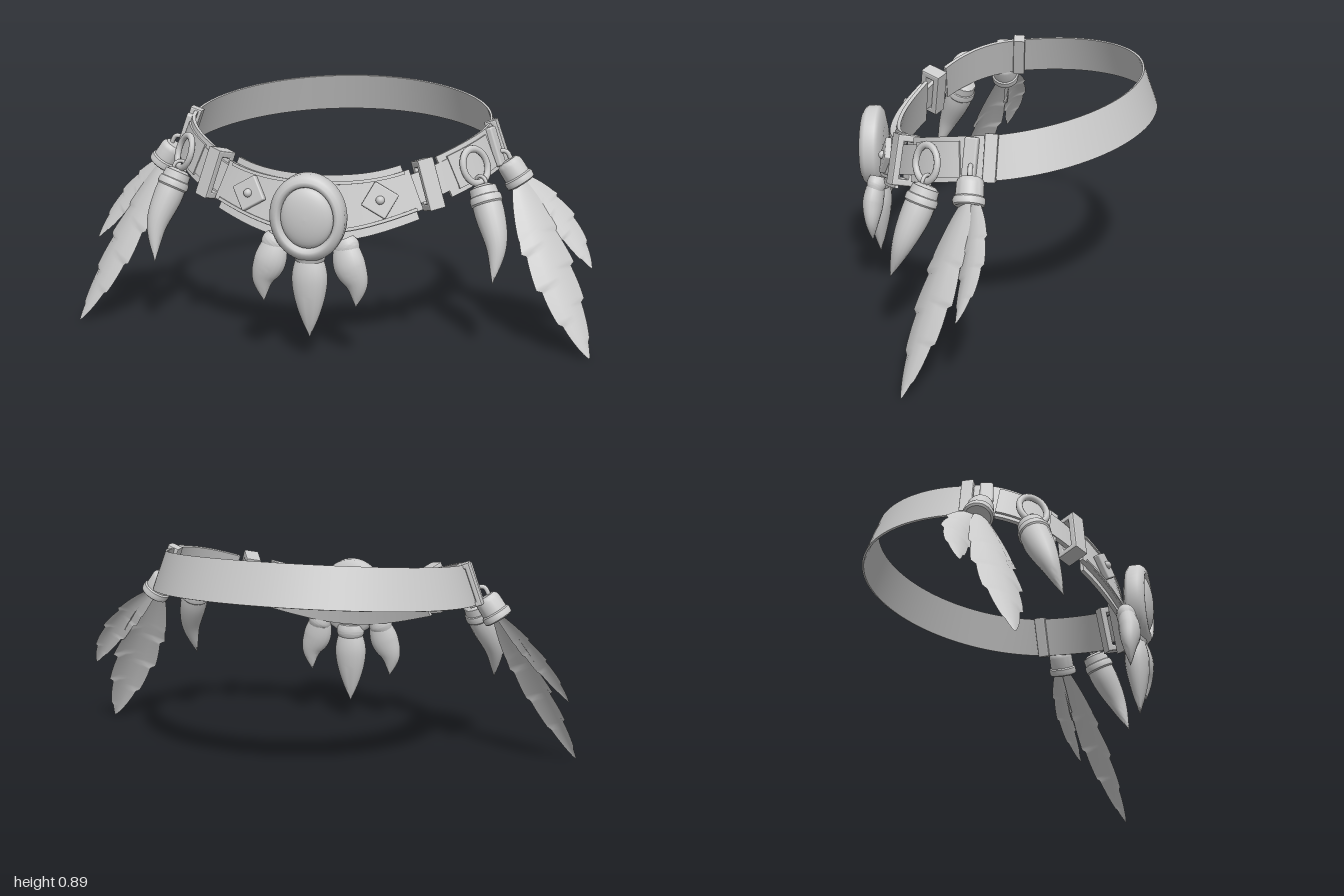
import * as THREE from 'three';
import { toCreasedNormals } from 'three/addons/utils/BufferGeometryUtils.js';
import { RoundedBoxGeometry } from 'three/addons/geometries/RoundedBoxGeometry.js';

const V = (x, y, z) => new THREE.Vector3(x, y, z);
const rad = THREE.MathUtils.degToRad;
const grey = new THREE.MeshStandardMaterial({ color: 0xcccccc });
const thin = new THREE.MeshStandardMaterial({ color: 0xcccccc, side: THREE.DoubleSide });

// Centre line of the belt; 0 degrees is the front, +90 the model's left
function beltPoint(deg) {
  const t = rad(deg), c = Math.cos(t);
  const y = c > 0
    ? 0.714 - 0.105 * c - 0.027 * Math.cos(2 * t) - 0.021 * Math.cos(3 * t)
    : 0.741 - 0.067 * c + 0.009 * c * c;
  return V(0.605 * Math.sin(t), y, (c > 0 ? 0.44 : 0.547) * c);
}

// Along, up and outward directions of the leaning belt
function beltFrame(deg) {
  const t = rad(deg), c = Math.cos(t), rz = c > 0 ? 0.44 : 0.547;
  const T = beltPoint(deg + 0.5).sub(beltPoint(deg - 0.5)).normalize();
  const N = V(Math.sin(t) / 0.605, 0, c / rz).normalize().multiplyScalar(0.94);
  N.y = 0.34 - 0.1 * Math.max(c, 0);
  N.addScaledVector(T, -N.dot(T)).normalize();
  return { P: beltPoint(deg), T, N, U: N.clone().cross(T) };
}

function mesh(parent, name, geo, mat = grey) {
  const m = new THREE.Mesh(geo, mat);
  m.name = name;
  parent.add(m);
  return m;
}

// Put a mesh on the belt: x along it, y up it, z out of it
function onBelt(m, deg, up = 0, out = 0) {
  const { P, T, U, N } = beltFrame(deg);
  m.quaternion.setFromRotationMatrix(new THREE.Matrix4().makeBasis(T, U, N));
  m.position.copy(P).addScaledVector(U, up).addScaledVector(N, out);
  return m;
}

// Skin through closed rings of points, capped at both ends
function loft(rings, crease) {
  const pos = [], n = rings[0].length;
  const tri = (...pts) => pts.forEach((p) => pos.push(p.x, p.y, p.z));
  const mid = (r) => r.reduce((a, p) => a.add(p), V(0, 0, 0)).divideScalar(n);
  const first = rings[0], last = rings[rings.length - 1];
  for (let j = 0; j < n; j++) {
    const k = (j + 1) % n;
    for (let i = 0; i < rings.length - 1; i++) {
      const a = rings[i], b = rings[i + 1];
      tri(a[j], a[k], b[j]);
      tri(a[k], b[k], b[j]);
    }
    tri(mid(first), first[k], first[j]);
    tri(mid(last), last[j], last[k]);
  }
  const g = new THREE.BufferGeometry();
  g.setAttribute('position', new THREE.Float32BufferAttribute(pos, 3));
  return toCreasedNormals(g, crease);
}

// Strip of leather following the belt from a to b degrees
function strip(parent, name, a, b, top, bottom, inner, outer) {
  const rings = [], n = Math.ceil(Math.abs(b - a) / 3);
  for (let i = 0; i <= n; i++) {
    const deg = a + (b - a) * i / n, { P, U, N } = beltFrame(deg);
    const at = (u, w) => P.clone().addScaledVector(U, u).addScaledVector(N, w);
    const hi = top(deg), lo = bottom(deg);
    rings.push([at(hi, inner), at(hi, outer), at(lo, outer), at(lo, inner)]);
  }
  return mesh(parent, name, loft(rings, 0.6));
}

// Tapered horn along a path; flat squeezes it front to back
function horn(parent, name, pts, radius, start, flat = 1) {
  const curve = new THREE.CatmullRomCurve3(pts), rings = [];
  for (let i = 0; i <= 24; i++) {
    const s = i / 24, p = curve.getPoint(s), d = curve.getTangent(s);
    const A = d.clone().cross(V(0, 0, 1)).normalize(), B = d.clone().cross(A);
    const r = Math.max(0.001, radius * (s < 0.33
      ? start + (1 - start) * Math.sin(s / 0.33 * Math.PI / 2)
      : 1 - Math.pow((s - 0.33) / 0.67, 1.7)));
    rings.push(Array.from({ length: 18 }, (_, j) => {
      const q = j / 18 * Math.PI * 2;
      return p.clone().addScaledVector(A, r * Math.cos(q)).addScaledVector(B, r * flat * Math.sin(q));
    }));
  }
  return mesh(parent, name, loft(rings, 1));
}

// Turned part whose axis runs from a towards b
function turned(parent, name, profile, a, b) {
  const g = new THREE.LatheGeometry(profile.map(([r, y]) => new THREE.Vector2(r, y)), 28);
  const m = mesh(parent, name, toCreasedNormals(g, 0.6));
  m.position.copy(a);
  m.quaternion.setFromUnitVectors(V(0, 1, 0), b.clone().sub(a).normalize());
  return m;
}

// Feather blade, folded along its vein, with a few split barbs on both sides
function feather(parent, name, s, pts, width, teeth) {
  const curve = new THREE.QuadraticBezierCurve3(...pts), N = V(0.5, 0.45, 0.65).normalize();
  const pos = [], idx = [], n = 60;
  const saw = (x) => x - Math.floor(x);
  for (let i = 0; i <= n; i++) {
    const t = i / n, p = curve.getPoint(t), d = curve.getTangent(t);
    const W = N.clone().cross(d).normalize();
    const w = width * (0.1 * (1 - t) + Math.pow(Math.max(0, Math.sin(Math.PI * Math.pow(t, 0.92))), 0.8));
    for (const k of [-1, -0.5, 0, 0.5, 1]) {
      const notch = t > 0.3 ? 0.8 + 0.2 * saw(t * teeth + (k > 0 ? 0.45 : 0)) : 0.94;
      const q = p.clone().addScaledVector(W, k * w * notch)
        .addScaledVector(d, Math.abs(k) * w * 0.25 * (1 - t)).addScaledVector(N, -k * k * w * 0.25);
      pos.push(q.x * s, q.y, q.z);
    }
    if (i < n) for (let k = 0; k < 4; k++) {
      const a = i * 5 + k;
      idx.push(a, a + 1, a + 5, a + 1, a + 6, a + 5);
    }
  }
  const g = new THREE.BufferGeometry();
  g.setAttribute('position', new THREE.Float32BufferAttribute(pos, 3));
  g.setIndex(idx);
  g.computeVertexNormals();
  mesh(parent, name, g, thin);
}

// Rectangular loop that the belt passes through
function loopGeometry(depth, height, wall, length) {
  const box = (C, w, h) => new C([[-w, -h], [w, -h], [w, h], [-w, h]].map(([x, y]) => new THREE.Vector2(x / 2, y / 2)));
  const shape = box(THREE.Shape, depth, height);
  shape.holes.push(box(THREE.Path, depth - 2 * wall, height - 2 * wall));
  return new THREE.ExtrudeGeometry(shape, { depth: length, bevelSize: 0.006, bevelThickness: 0.006, bevelSegments: 2 })
    .translate(0, 0, -length / 2).rotateY(Math.PI / 2);
}

export function createModel() {
  const root = new THREE.Group();
  root.name = 'ornamentedBelt';

  // Back strap and layered front panel
  strip(root, 'backStrap', 88, 272, () => 0.078, () => -0.08, -0.004, 0.004);
  const bulge = (d) => 0.1 + 0.018 * Math.pow(Math.cos(rad(d * 2.5)), 2);
  strip(root, 'frontLining', -34, 34, bulge, (d) => -bulge(d) - 0.008, -0.01, 0.004);
  strip(root, 'frontBelt', -36, 36, (d) => bulge(d) - 0.024, (d) => 0.022 - bulge(d), 0.004, 0.02);
  for (const k of [-1, 1]) {
    const edge = (o) => (d) => k * (bulge(d) - 0.03) + o;
    strip(root, 'frontBeltTrim', -34, 34, edge(0.006), edge(-0.006), 0.018, 0.026);
  }

  // Oval medallion with domed stone
  const rim = [[0, -0.045], [0.08, -0.045], [0.125, -0.032], [0.139, -0.018], [0.139, 0.02], [0.13, 0.034],
    [0.117, 0.043], [0.108, 0.043], [0.1, 0.036], [0.097, 0.022]];
  const stone = Array.from({ length: 9 }, (_, i) => [0.097 * Math.cos(i * Math.PI / 16), 0.022 + 0.036 * Math.sin(i * Math.PI / 16)]);
  for (const [name, pts] of [['medallionRim', rim], ['medallionStone', stone]]) {
    const g = new THREE.LatheGeometry(pts.map(([r, y]) => new THREE.Vector2(Math.max(r, 0), y)), 48);
    const m = mesh(root, name, g.rotateX(Math.PI / 2).scale(1, 1.15, 1));
    m.position.set(0, 0.545, 0.518);
  }

  // Central claw and its cap
  horn(root, 'centreClaw', [V(0, 0.42, 0.5), V(0, 0.31, 0.505), V(0, 0.2, 0.508), V(0, 0.09, 0.508)], 0.067, 0.55, 0.7);
  horn(root, 'centreClawCap', [V(0, 0.43, 0.5), V(0, 0.38, 0.503), V(0, 0.31, 0.515)], 0.06, 0.85, 0.75);

  for (const s of [1, -1]) {
    const side = new THREE.Group();
    side.name = s > 0 ? 'leftOrnaments' : 'rightOrnaments';
    root.add(side);
    const M = (x, y, z) => V(s * x, y, z);
    const sideStrip = (name, a, b, ...rest) => strip(side, name, s > 0 ? a : -b, s > 0 ? b : -a, ...rest);

    // Side claw and its cap
    horn(side, 'sideClaw', [M(0.125, 0.46, 0.49), M(0.148, 0.37, 0.505), M(0.175, 0.3, 0.507), M(0.172, 0.215, 0.507)], 0.06, 0.6, 0.68);
    horn(side, 'sideClawCap', [M(0.12, 0.46, 0.488), M(0.14, 0.42, 0.495), M(0.155, 0.36, 0.505)], 0.05, 0.8, 0.75);

    // Diamond plate with stud
    const plate = mesh(side, 'diamondPlate', new RoundedBoxGeometry(0.1, 0.1, 0.024, 2, 0.006).rotateZ(rad(45)));
    onBelt(plate, s * 23, 0, 0.03);
    onBelt(mesh(side, 'plateStud', new THREE.SphereGeometry(0.016, 16, 10)), s * 23, 0, 0.042);

    // Bridge, buckle and side strap
    sideStrip('bridgeStrap', 32, 52, () => 0.055, () => -0.055, -0.006, 0.01);
    onBelt(mesh(side, 'buckle', loopGeometry(0.075, 0.175, 0.014, 0.05).rotateZ(-s * rad(7))), s * 41, 0, 0.01);
    sideStrip('sideStrap', 48, 90, () => 0.08, () => -0.08, -0.008, 0.006);
    sideStrip('sidePatch', 52, 76, () => 0.064, () => -0.064, 0.006, 0.014);

    // Ring lying on the side strap
    onBelt(mesh(side, 'ring', new THREE.TorusGeometry(0.056, 0.012, 10, 32).scale(1, 1.15, 1)), s * 61, -0.012, 0.032);

    // Hanging fang with collar and link
    const top = M(0.585, 0.615, 0.232), next = M(0.615, 0.535, 0.262);
    horn(side, 'fang', [top, next, M(0.65, 0.42, 0.312), M(0.645, 0.29, 0.36)], 0.056, 0.9);
    turned(side, 'fangCollar', [[0, -0.012], [0.032, -0.01], [0.046, 0], [0.05, 0.012], [0.05, 0.028], [0.057, 0.032],
      [0.06, 0.042], [0.06, 0.058], [0.055, 0.064], [0.045, 0.064]], top, next);
    const link = mesh(side, 'fangLink', new THREE.TorusGeometry(0.024, 0.007, 8, 20));
    link.position.copy(M(0.578, 0.635, 0.232));
    link.rotation.y = s * rad(-30);

    // Keeper, tab and hook at the hip
    const upright = -s * rad(8);
    onBelt(mesh(side, 'keeper', loopGeometry(0.036, 0.158, 0.008, 0.036).rotateZ(upright)), s * 90, 0, 0.003);
    onBelt(mesh(side, 'hangerTab', new RoundedBoxGeometry(0.05, 0.15, 0.03, 2, 0.008).rotateZ(upright)), s * 81, 0.002, 0.012);
    const hook = new THREE.CatmullRomCurve3([M(0.615, 0.718, 0.068), M(0.65, 0.72, 0.068), M(0.672, 0.68, 0.068)]);
    mesh(side, 'hook', new THREE.TubeGeometry(hook, 12, 0.009, 8));

    // Feather holder and feathers
    turned(side, 'featherHolder', [[0, -0.005], [0.036, -0.002], [0.046, 0.008], [0.049, 0.02], [0.05, 0.065], [0.056, 0.07],
      [0.058, 0.08], [0.056, 0.095], [0.048, 0.1], [0, 0.09]], M(0.655, 0.684, 0.066), M(0.715, 0.594, 0.068));
    feather(side, 'longFeather', s, [V(0.69, 0.64, 0.07), V(0.855, 0.34, 0.2), V(1, 0, 0.275)], 0.1, 5);
    feather(side, 'shortFeather', s, [V(0.69, 0.635, 0.055), V(0.88, 0.5, 0.03), V(0.985, 0.29, 0.085)], 0.065, 4.5);
  }
  return root;
}
